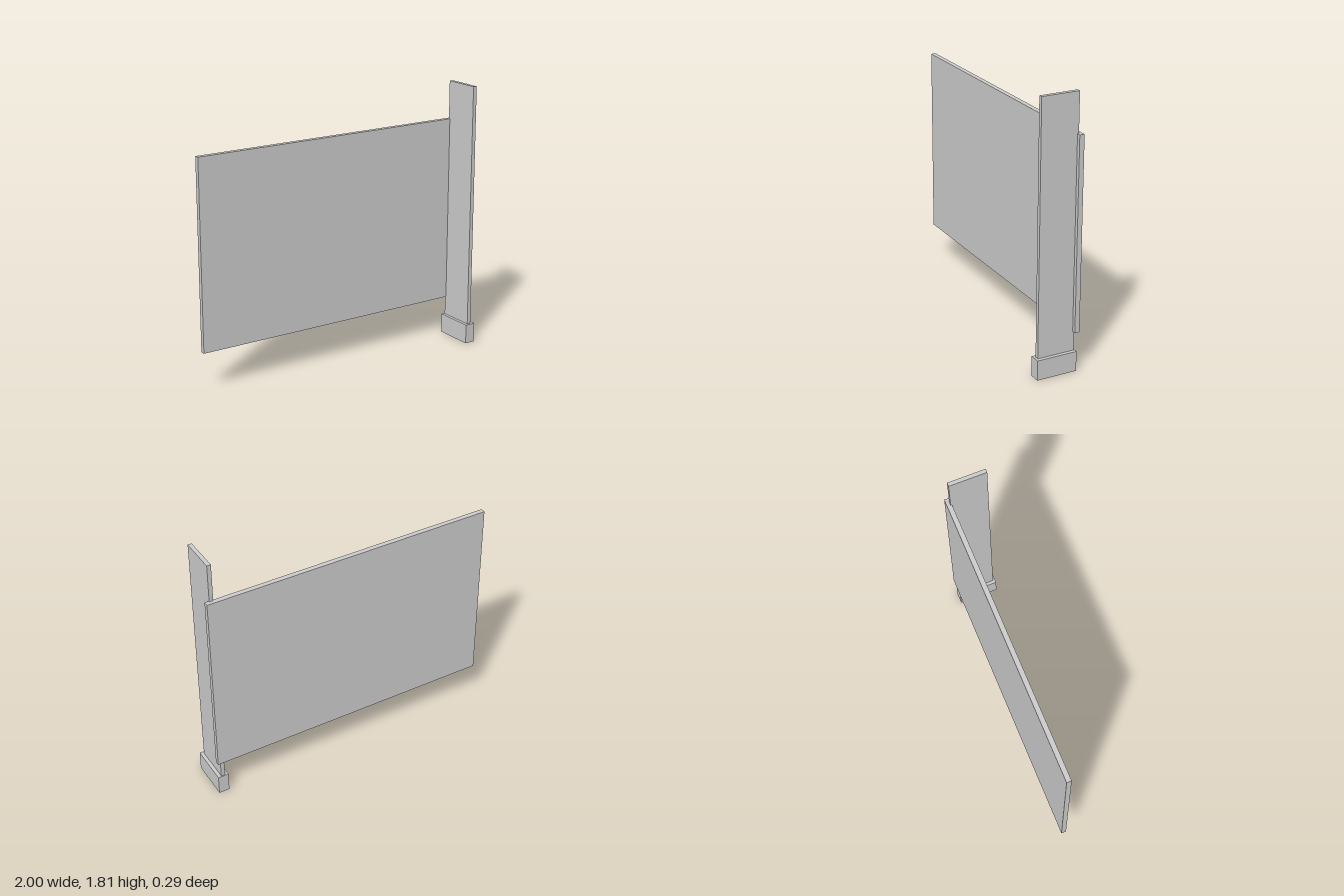
import * as THREE from 'three';

const material = new THREE.MeshStandardMaterial({ color: 0xcccccc, flatShading: true });

// Box given by its extents along each axis
function slab(name, [x0, x1], [y0, y1], [z0, z1]) {
  const mesh = new THREE.Mesh(new THREE.BoxGeometry(x1 - x0, y1 - y0, z1 - z0), material);
  mesh.position.set((x0 + x1) / 2, (y0 + y1) / 2, (z0 + z1) / 2);
  mesh.name = name;
  return mesh;
}

export function createModel() {
  const group = new THREE.Group();
  group.name = 'panelOnPost';
  group.add(
    // wide board fixed behind the post
    slab('panel', [-1, 1], [0.265, 1.553], [-0.147, -0.114]),
    // tall flat upright, seated in the foot
    slab('post', [0.947, 0.974], [0.01, 1.815], [-0.124, 0.132]),
    // foot block
    slab('foot', [0.925, 0.998], [0, 0.135], [-0.131, 0.147]),
  );
  return group;
}
